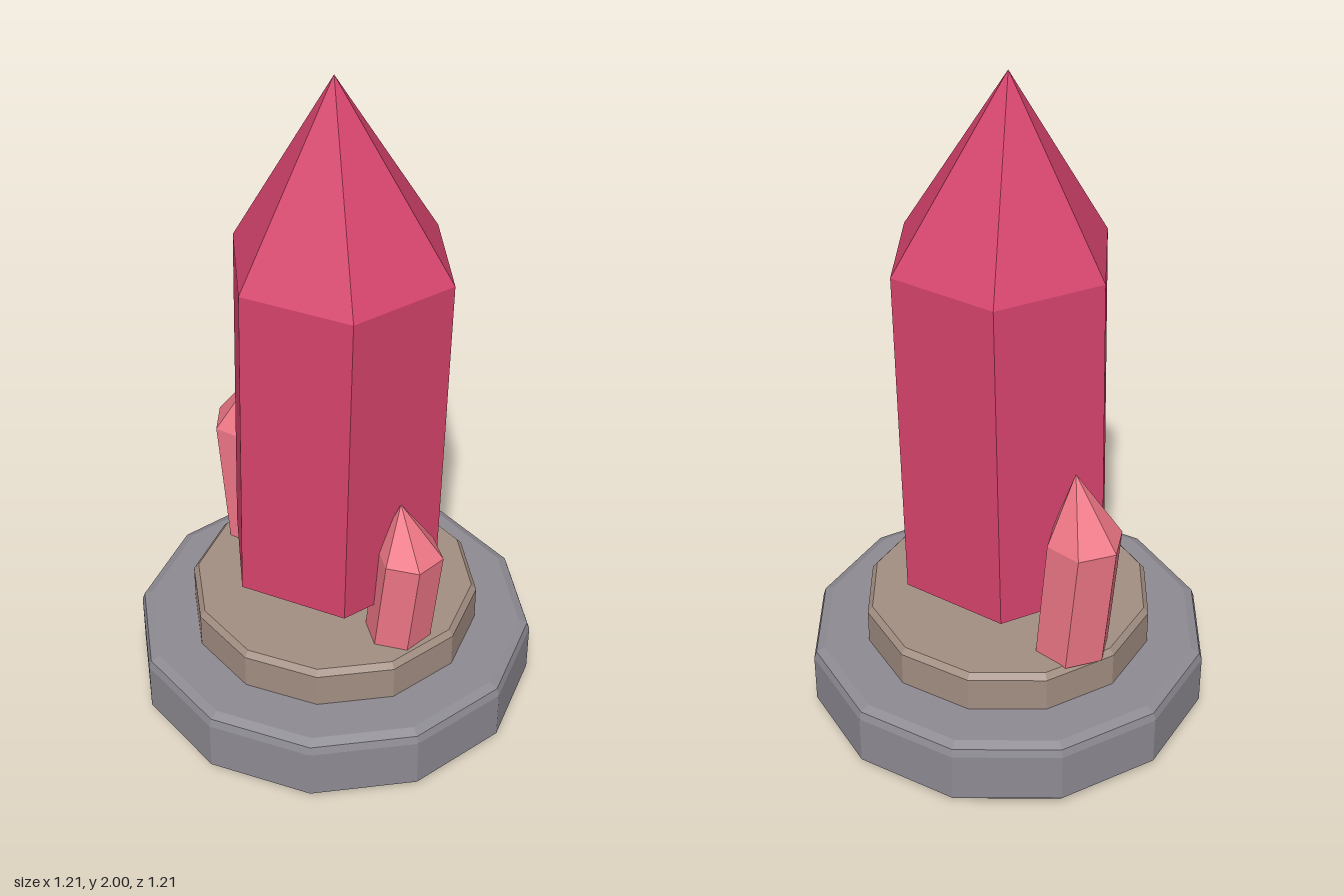
import * as THREE from 'three';

// Faceted solid of revolution from [radius, height] pairs, bottom to top
function faceted(name, profile, sides, startDeg, color) {
  const points = profile.map(([r, y]) => new THREE.Vector2(r, y));
  const geometry = new THREE.LatheGeometry(points, sides, THREE.MathUtils.degToRad(startDeg));
  const mesh = new THREE.Mesh(geometry, new THREE.MeshStandardMaterial({ color, flatShading: true }));
  mesh.name = name;
  return mesh;
}

// Six-sided crystal whose shoulder ring is shifted sideways by lean
function crystal(name, { x, z, radius, bottom, foot, shoulder, tip, lean, turn, color }) {
  const profile = [[0, bottom], [radius, foot], [radius, shoulder], [0, tip]];
  const mesh = faceted(name, profile, 6, turn, color);
  const pos = mesh.geometry.attributes.position;
  for (let i = 0; i < pos.count; i++) {
    if (Math.abs(pos.getY(i) - shoulder) < 1e-4) pos.setX(i, pos.getX(i) + lean);
  }
  mesh.geometry.computeVertexNormals();
  mesh.position.set(x, 0, z);
  return mesh;
}

export function createModel() {
  const group = new THREE.Group();
  group.name = 'crystalOnPedestal';

  // Two-step pedestal with bevelled rims
  group.add(faceted('pedestalBase', [
    [0, 0], [0.58, 0], [0.605, 0.025], [0.605, 0.18], [0.597, 0.203], [0.57, 0.215], [0, 0.215],
  ], 12, 0, 0x8d8a92));
  group.add(faceted('pedestalStep', [
    [0, 0.2], [0.435, 0.2], [0.435, 0.322], [0.42, 0.34], [0, 0.34],
  ], 12, 0, 0xa28e82));

  // Large crystal, pointed at both ends
  group.add(crystal('mainCrystal', {
    x: 0, z: 0, radius: 0.33, bottom: 0.33, foot: 0.455, shoulder: 1.465, tip: 2,
    lean: 0.025, turn: 41.7, color: 0xd6436c,
  }));

  // Small crystals leaning outwards on each side
  group.add(crystal('rightSmallCrystal', {
    x: -0.325, z: -0.06, radius: 0.112, bottom: 0.335, foot: 0.335, shoulder: 0.735, tip: 0.935,
    lean: -0.04, turn: 34, color: 0xef7786,
  }));
  group.add(crystal('leftSmallCrystal', {
    x: 0.295, z: 0.083, radius: 0.098, bottom: 0.335, foot: 0.335, shoulder: 0.645, tip: 0.805,
    lean: 0.035, turn: 51, color: 0xef7786,
  }));

  return group;
}
